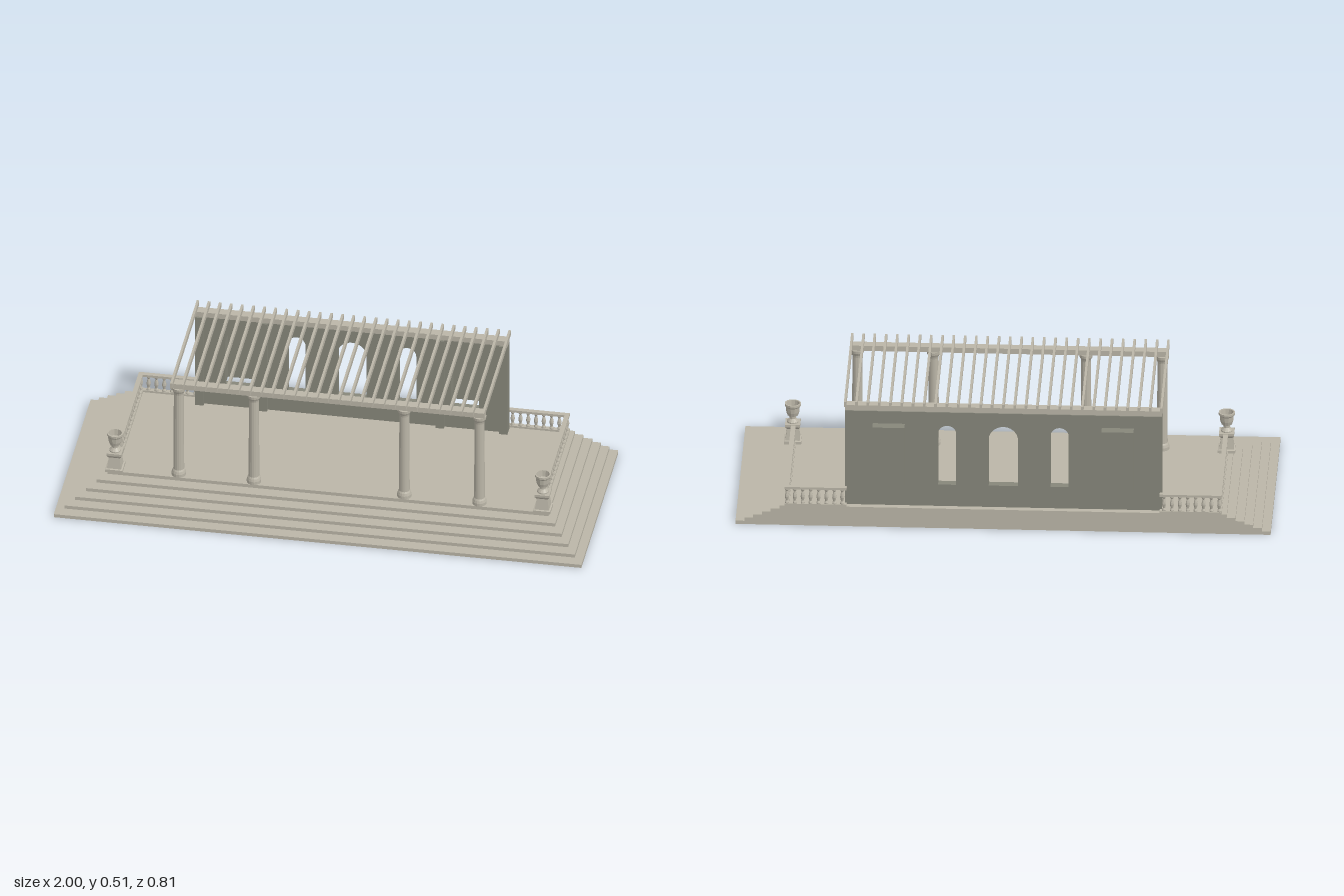
import * as THREE from 'three';

const stone = new THREE.MeshStandardMaterial({ color: 0xbab5a7, flatShading: true });
stone.name = 'pale stone';
const plaster = new THREE.MeshStandardMaterial({ color: 0x86867a, flatShading: true });
plaster.name = 'grey plaster';

// Box given by its min and max on each axis
function box(parent, name, mat, x0, x1, y0, y1, z0, z1) {
  const mesh = new THREE.Mesh(new THREE.BoxGeometry(x1 - x0, y1 - y0, z1 - z0), mat);
  mesh.position.set((x0 + x1) / 2, (y0 + y1) / 2, (z0 + z1) / 2);
  mesh.name = name;
  parent.add(mesh);
  return mesh;
}

// Turned part from [radius, height] pairs
function lathe(profile, sides) {
  const g = new THREE.LatheGeometry(profile.map(([r, y]) => new THREE.Vector2(r, y)), sides);
  g.rotateY(Math.PI / sides);
  return g;
}

function place(parent, name, geometry, x, y, z) {
  const mesh = new THREE.Mesh(geometry, stone);
  mesh.position.set(x, y, z);
  mesh.name = name;
  parent.add(mesh);
}

// Round-headed outline, added to a Path or Shape
function arch(path, cx, half, y0, y1) {
  path.moveTo(cx - half, y0);
  path.lineTo(cx + half, y0);
  path.lineTo(cx + half, y1 - half);
  path.absarc(cx, y1 - half, half, 0, Math.PI, false);
  path.lineTo(cx - half, y0);
  return path;
}

function extrude(parent, name, shape, z0, z1) {
  const g = new THREE.ExtrudeGeometry(shape, { depth: z1 - z0, bevelEnabled: false, curveSegments: 16 });
  const mesh = new THREE.Mesh(g, plaster);
  mesh.position.z = z0;
  mesh.name = name;
  parent.add(mesh);
}

export function createModel() {
  const model = new THREE.Group();
  model.name = 'pergola terrace';
  const floorY = 0.081, colZ = 0.155, back = -0.39;

  // Stepped platform, flush at the back
  for (let i = 0; i < 6; i++) {
    const w = 1 - i * 0.0328;
    box(model, 'step', stone, -w, w, i * 0.0135, (i + 1) * 0.0135, back, 0.405 - i * 0.045);
  }

  // Rear wall with three windows and two niche openings
  const wall = new THREE.Shape();
  wall.moveTo(-0.592, floorY);
  wall.lineTo(0.592, floorY);
  wall.lineTo(0.592, 0.47);
  wall.lineTo(-0.592, 0.47);
  wall.closePath();
  for (const [x, half] of [[0, 0.055], [-0.21, 0.034], [0.21, 0.034], [-0.428, 0.053], [0.428, 0.053]]) {
    wall.holes.push(arch(new THREE.Path(), x, half, 0.17, 0.415));
  }
  extrude(model, 'rearWall', wall, -0.367, -0.335);

  for (const s of [-1, 1]) {
    // Pilasters
    for (const x of [0.335, 0.576]) {
      box(model, 'pilaster', plaster, s * x - 0.016, s * x + 0.016, floorY, 0.47, -0.336, -0.32);
    }
    // Niche behind the wall, open underneath
    const c = s * 0.428, h = 0.053, o = 0.06;
    const surround = new THREE.Shape();
    surround.moveTo(c + h, 0.17);
    surround.lineTo(c + o, 0.17);
    surround.lineTo(c + o, 0.42);
    surround.lineTo(c - o, 0.42);
    surround.lineTo(c - o, 0.17);
    surround.lineTo(c - h, 0.17);
    surround.lineTo(c - h, 0.415 - h);
    surround.absarc(c, 0.415 - h, h, Math.PI, 0, true);
    surround.closePath();
    extrude(model, 'nicheSurround', surround, -0.396, -0.367);
    box(model, 'nicheBack', plaster, c - o, c + o, 0.17, 0.42, -0.404, -0.396);
  }

  // Columns
  const column = lathe([[0, 0], [0.027, 0], [0.027, 0.012], [0.024, 0.022], [0.0205, 0.028],
    [0.0185, 0.36], [0.02, 0.368], [0.025, 0.378], [0.026, 0.389], [0, 0.389]], 16);
  for (const x of [-0.57, -0.285, 0.285, 0.57]) place(model, 'column', column, x, floorY, colZ);

  // Beams and rafters
  box(model, 'frontBeam', stone, -0.592, 0.592, 0.47, 0.491, colZ - 0.0175, colZ + 0.0175);
  box(model, 'rearBeam', stone, -0.592, 0.592, 0.47, 0.491, -0.363, -0.328);
  const count = 29;
  for (let i = 0; i < count; i++) {
    const x = -0.591 + (1.182 * i) / (count - 1);
    box(model, 'rafter', stone, x - 0.0045, x + 0.0045, 0.49, 0.511, -0.377, 0.202);
  }

  // Balustrades, pedestals and urns on both sides
  const baluster = lathe([[0.008, 0], [0.008, 0.005], [0.0045, 0.012], [0.0085, 0.028],
    [0.0075, 0.036], [0.004, 0.05], [0.0075, 0.057], [0.0075, 0.062]], 8);
  const pedestal = lathe([[0, 0], [0.046, 0], [0.046, 0.011], [0.038, 0.013], [0.029, 0.058],
    [0.038, 0.066], [0.04, 0.07], [0.04, 0.079], [0, 0.079]], 4);
  const urn = lathe([[0, 0], [0.022, 0], [0.022, 0.005], [0.012, 0.016], [0.012, 0.025], [0.02, 0.029],
    [0.025, 0.044], [0.027, 0.064], [0.031, 0.07], [0.031, 0.078], [0.025, 0.078], [0.022, 0.052], [0, 0.04]], 12);
  for (const s of [-1, 1]) {
    const rail = new THREE.Group();
    rail.name = s > 0 ? 'leftBalustrade' : 'rightBalustrade';
    model.add(rail);
    const x = s * 0.808, backZ = -0.381;
    for (const [y0, y1] of [[floorY, 0.089], [0.149, 0.158]]) {
      box(rail, 'sideRail', stone, x - 0.009, x + 0.009, y0, y1, back, 0.135);
      box(rail, 'backRail', stone, Math.min(s * 0.585, s * 0.799), Math.max(s * 0.585, s * 0.799),
        y0, y1, back, back + 0.018);
    }
    for (let i = 0; i < 17; i++) place(rail, 'baluster', baluster, x, 0.088, 0.112 - i * 0.0308);
    for (let i = 1; i < 8; i++) place(rail, 'baluster', baluster, x - s * i * 0.0295, 0.088, backZ);
    place(rail, 'pedestal', pedestal, s * 0.811, floorY, colZ + 0.001);
    place(rail, 'urn', urn, s * 0.811, 0.16, colZ + 0.001);
  }
  return model;
}
